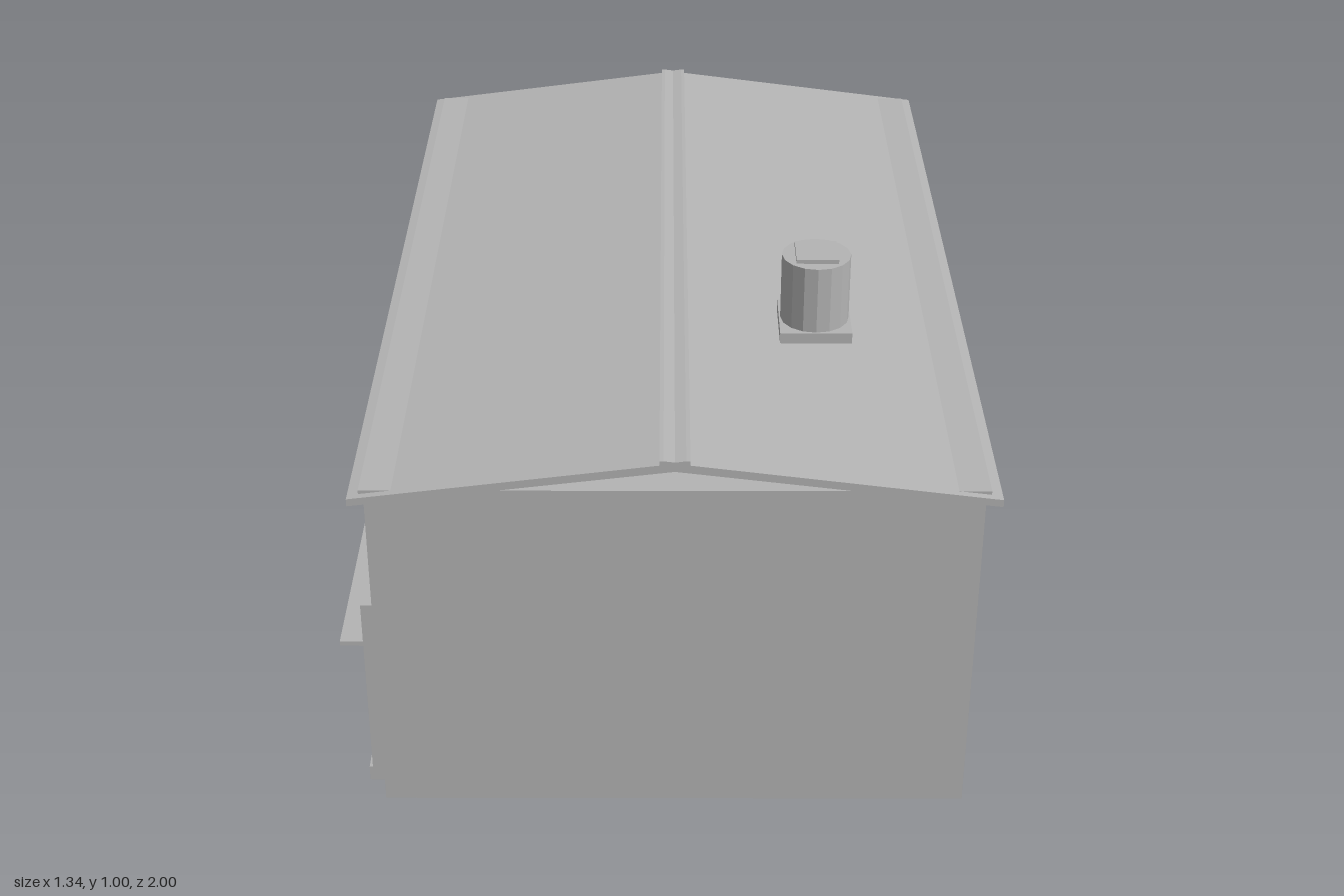
import * as THREE from 'three';

export function createModel() {
  const root = new THREE.Group();
  root.name = 'shopBuilding';
  const grey = new THREE.MeshStandardMaterial({ color: 0xb4b4b4 });
  grey.name = 'plainGrey';

  const add = (name, geo, parent = root) => {
    const mesh = new THREE.Mesh(geo, grey);
    mesh.name = name;
    parent.add(mesh);
    return mesh;
  };
  // Box given by its lower and upper limits on each axis
  const box = (name, x0, x1, y0, y1, z0, z1, parent = root) => {
    const mesh = add(name, new THREE.BoxGeometry(x1 - x0, y1 - y0, z1 - z0), parent);
    mesh.position.set((x0 + x1) / 2, (y0 + y1) / 2, (z0 + z1) / 2);
    return mesh;
  };
  // Cross-section in x and y, extruded along z
  const extrude = (name, points, z0, z1) => {
    const shape = new THREE.Shape(points.map(([x, y]) => new THREE.Vector2(x, y)));
    const geo = new THREE.ExtrudeGeometry(shape, { depth: z1 - z0, bevelEnabled: false });
    geo.translate(0, 0, z0);
    return add(name, geo);
  };

  // Main walls and the ceiling slab under the open gables
  box('walls', -0.585, 0.635, 0, 0.765, -0.975, 0.975);
  box('ceilingSlab', -0.593, 0.643, 0.762, 0.779, -0.985, 0.985);
  box('atticHatch', -0.35, -0.155, 0.779, 0.789, -0.1, 0.1);

  // Shallow pitched roof, ridge cap and ridge beam
  extrude('roof', [
    [-0.615, 0.752], [0.025, 0.832], [0.665, 0.752],
    [0.665, 0.768], [0.025, 0.85], [-0.615, 0.768],
  ], -1, 1);
  extrude('ridgeCap', [
    [-0.005, 0.842], [0.055, 0.842], [0.055, 0.856],
    [0.047, 0.856], [0.025, 0.853], [0.003, 0.856], [-0.005, 0.856],
  ], -1, 1);
  box('ridgeBeam', 0.019, 0.031, 0.822, 0.838, -0.985, 0.985);

  // Roof vent
  const vent = new THREE.Group();
  vent.name = 'roofVent';
  vent.position.set(0.328, 0, 0.388);
  root.add(vent);
  box('ventBase', -0.077, 0.077, 0.82, 0.845, -0.077, 0.077, vent);
  const drum = new THREE.CylinderGeometry(0.074, 0.074, 0.15, 16).toNonIndexed();
  drum.computeVertexNormals();
  add('ventDrum', drum, vent).position.y = 0.92;
  box('ventCap', -0.045, 0.045, 0.99, 1.004, -0.045, 0.045, vent);

  // Shopfront on the long -x wall: backing, plinth, fascia
  const shop = new THREE.Group();
  shop.name = 'shopfront';
  root.add(shop);
  box('backing', -0.6, -0.583, 0.01, 0.395, -0.9, 0.9, shop);
  box('plinth', -0.625, -0.585, 0, 0.035, -0.915, 0.915, shop);
  box('stallBoard', -0.612, -0.598, 0.035, 0.06, -0.88, 0.88, shop);
  box('fascia', -0.615, -0.598, 0.335, 0.4, -0.88, 0.88, shop);
  // Pilasters as [start z, end z]
  for (const [a, b] of [[-0.915, -0.835], [0.835, 0.915], [-0.405, -0.345], [0.62, 0.68]]) {
    box('pilaster', -0.618, -0.583, 0.01, 0.455, a, b, shop);
  }
  for (const z of [-0.27, -0.16, -0.04, 0.07, 0.18]) {
    box('mullion', -0.612, -0.598, 0.05, 0.34, z - 0.012, z + 0.012, shop);
  }
  // Slatted shutter
  for (let i = 0; i < 7; i++) {
    const y = 0.065 + i * 0.038;
    box('shutterSlat', -0.61, -0.598, y, y + 0.03, 0.2, 0.615, shop);
  }
  // Canopy with its hanging brackets
  box('canopy', -0.673, -0.61, 0.324, 0.335, -0.88, 0.875, shop);
  for (const z of [-0.72, 0.72]) {
    box('canopyBracket', -0.645, -0.635, 0.255, 0.325, z - 0.006, z + 0.006, shop);
  }

  // Services on the +x wall
  box('wallConduit', 0.634, 0.646, 0.483, 0.491, -0.65, 0.46);
  box('wallUnit', 0.634, 0.659, 0.5, 0.565, -0.44, -0.335);
  box('wallUnitGrille', 0.655, 0.669, 0.528, 0.536, -0.43, -0.345);
  box('meterBox', 0.634, 0.65, 0.073, 0.138, 0.57, 0.613);
  box('meterPipe', 0.634, 0.641, 0.138, 0.21, 0.572, 0.579);
  // Downpipe and its outlet at the rear corner
  box('downpipe', 0.634, 0.646, 0, 0.757, -0.965, -0.94);
  box('downpipeOutlet', 0.634, 0.646, 0.03, 0.038, -0.94, -0.905);

  return root;
}
